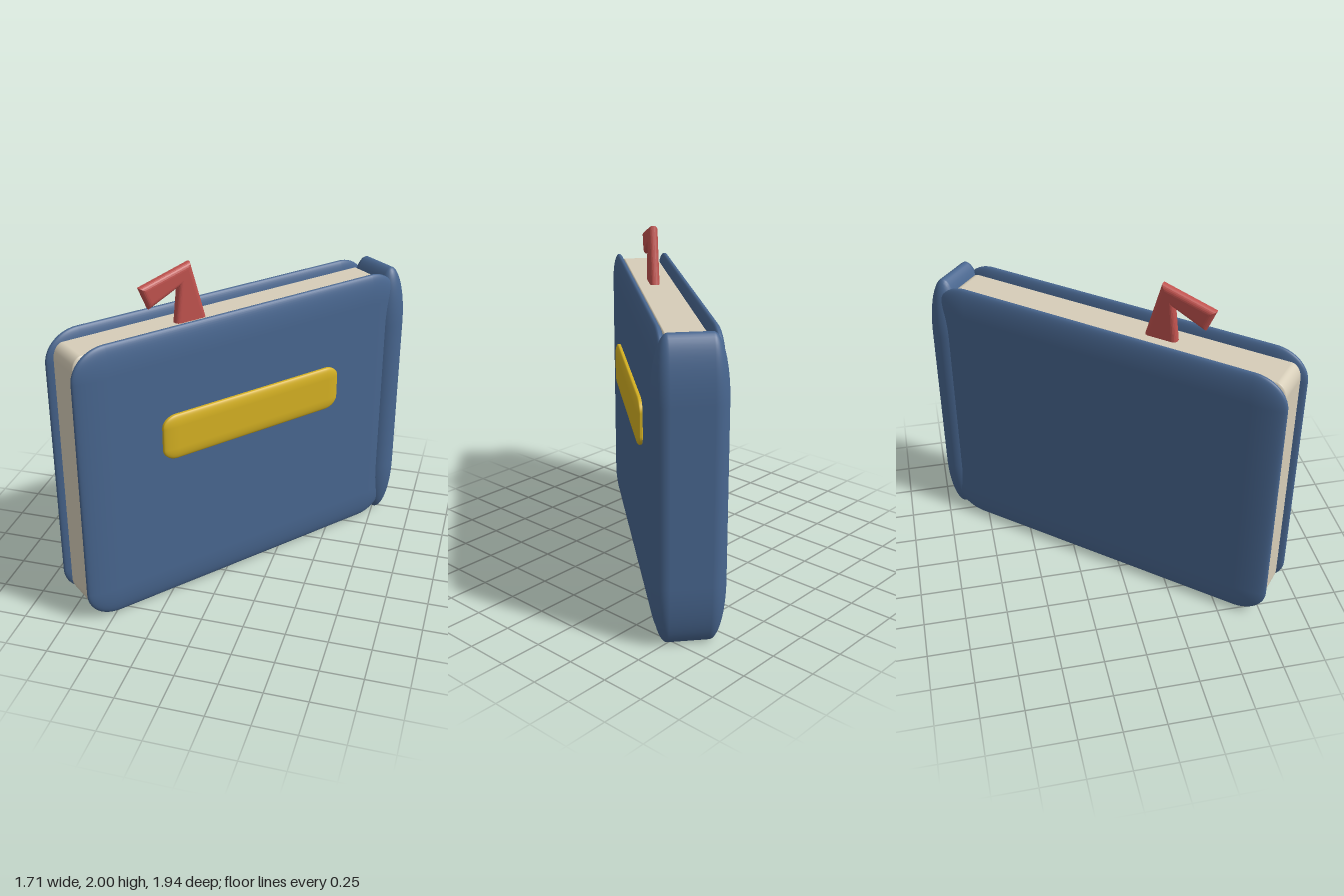
import * as THREE from 'three';

const mat = (name, color, side = THREE.FrontSide) => {
  const m = new THREE.MeshStandardMaterial({ color, side });
  m.name = name;
  return m;
};

// Box from min to max whose corners are ellipsoid octants with radii r
function softBox(min, max, r, n = 15) {
  const geo = new THREE.BoxGeometry(2, 2, 2, n, n, n);
  const pos = geo.attributes.position, nor = geo.attributes.normal;
  const d = new THREE.Vector3(), k = new THREE.Vector3();
  for (let i = 0; i < pos.count; i++) {
    const c = [pos.getX(i), pos.getY(i), pos.getZ(i)];
    // the middle strip of each face collapses to the axis and stays flat
    const t = c.map(v => Math.sign(v) * Math.tan(Math.max(0, (Math.abs(v) - 1 / n) / (1 - 1 / n)) * Math.PI / 4));
    d.fromArray(t).normalize();
    const a = d.toArray();
    const p = a.map((v, j) => (min[j] + max[j]) / 2 + Math.sign(c[j]) * ((max[j] - min[j]) / 2 - r[j]) + r[j] * v);
    pos.setXYZ(i, ...p);
    k.set(a[0] / r[0], a[1] / r[1], a[2] / r[2]).normalize();
    nor.setXYZ(i, k.x, k.y, k.z);
  }
  return geo;
}

export function createModel() {
  const blue = mat('coverBlue', 0x48668f);
  const cream = mat('pageCream', 0xd6cdb8);
  const red = mat('ribbonRed', 0xc0524e);
  const gold = mat('labelGold', 0xd4b022);

  const model = new THREE.Group();
  model.name = 'book';
  const book = new THREE.Group();
  book.name = 'turnedBook';
  book.rotation.y = THREE.MathUtils.degToRad(50);
  model.add(book);

  const add = (name, geo, material) => {
    const mesh = new THREE.Mesh(geo, material);
    mesh.name = name;
    book.add(mesh);
    return mesh;
  };

  // Two cover boards
  const coverRadii = [0.2, 0.18, 0.038];
  add('frontCover', softBox([-1.125, 0.01, 0.1], [1.08, 1.71, 0.18], coverRadii), blue);
  add('backCover', softBox([-1.125, 0.01, -0.2], [1.08, 1.71, -0.12], coverRadii), blue);

  // Rounded spine, bulging at mid height
  add('spine', softBox([0.96, 0, -0.205], [1.16, 1.715, 0.2], [0.1, 0.36, 0.09]), blue);

  // Page block
  add('pages', softBox([-1.095, 0.055, -0.135], [1.02, 1.66, 0.115], [0.06, 0.09, 0.02]), cream);

  // Label on the front cover
  add('label', softBox([-0.62, 0.935, 0.165], [0.605, 1.21, 0.214], [0.09, 0.07, 0.02]), gold);

  // Bent ribbon bookmark with rounded edges
  const outline = [[-0.2, 1.6], [-0.312, 2], [-0.632, 1.91], [-0.578, 1.78], [-0.388, 1.87], [-0.42, 1.6]];
  const ribbon = new THREE.ExtrudeGeometry(
    new THREE.Shape(outline.map(p => new THREE.Vector2(...p))),
    { depth: 0.01, bevelEnabled: true, bevelThickness: 0.024, bevelSize: 0.03, bevelOffset: -0.03, bevelSegments: 5 });
  ribbon.translate(0, 0, -0.005);
  add('ribbon', ribbon, red);

  return model;
}
